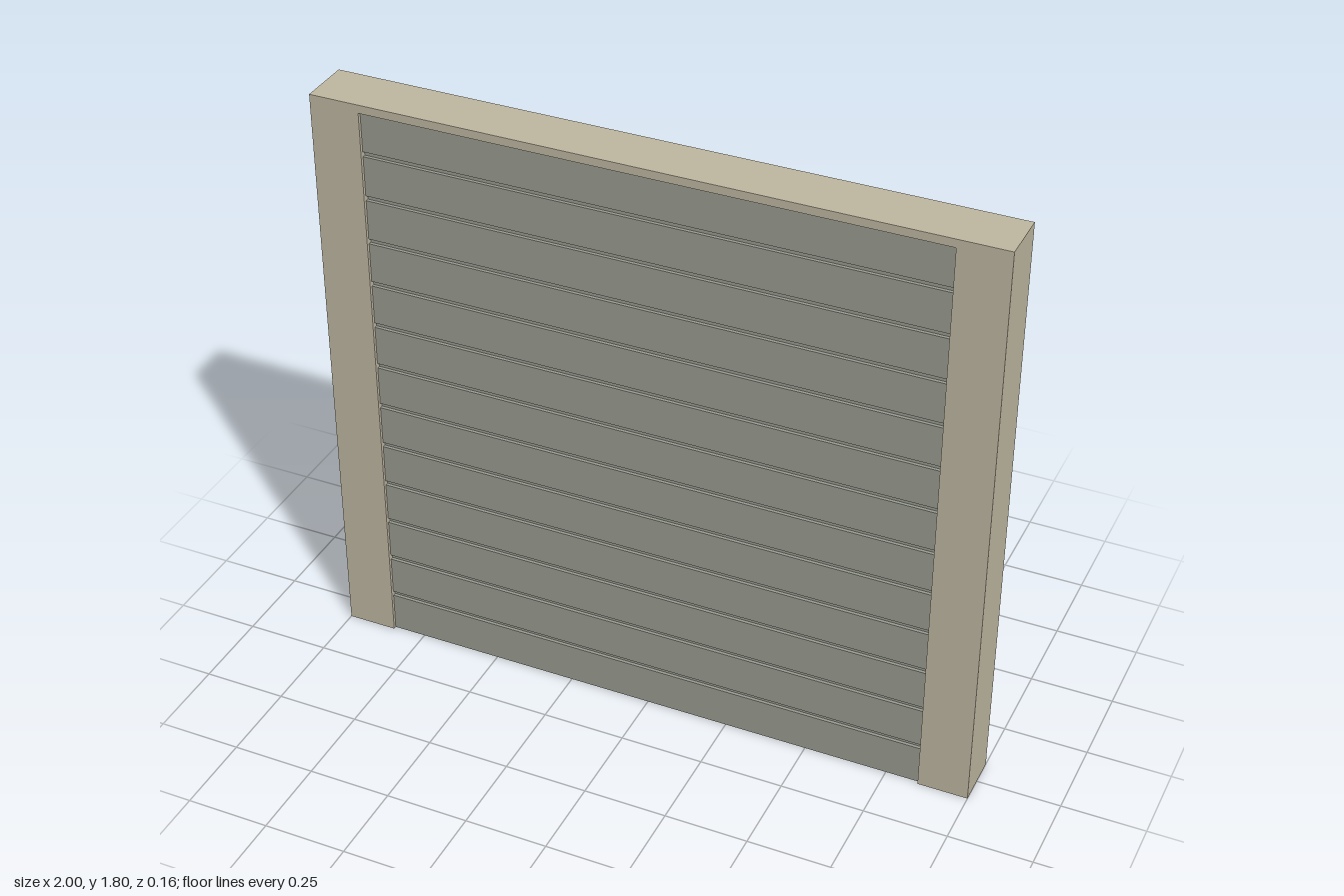
import * as THREE from 'three';

const WIDTH = 2, DEPTH = 0.16, CAP = 0.025, POST = 0.15;
const INNER_H = 1.8 - CAP, PANEL_W = WIDTH - 2 * POST;
const SLATS = 13, GAP = 0.015;

export function createModel() {
  const group = new THREE.Group();
  const frameMat = new THREE.MeshStandardMaterial({ color: 0xc0b8a2 });
  frameMat.name = 'beige frame';
  const panelMat = new THREE.MeshStandardMaterial({ color: 0x9a9d92 });
  panelMat.name = 'grey green slats';

  // Box standing on height y
  const box = (name, mat, w, h, d, x, y) => {
    const mesh = new THREE.Mesh(new THREE.BoxGeometry(w, h, d), mat);
    mesh.name = name;
    mesh.position.set(x, y + h / 2, 0);
    group.add(mesh);
  };

  // Frame: two posts and a cap rail
  for (const [side, name] of [[1, 'leftPost'], [-1, 'rightPost']]) {
    box(name, frameMat, POST, INNER_H, DEPTH, side * (WIDTH - POST) / 2, 0);
  }
  box('capRail', frameMat, WIDTH, CAP, DEPTH, 0, INNER_H);

  // Horizontal slats, slightly recessed, with narrow strips set back in the gaps
  const slatH = (INNER_H - (SLATS - 1) * GAP) / SLATS;
  for (let i = 0; i < SLATS; i++) {
    const y = i * (slatH + GAP);
    box(`slat${i + 1}`, panelMat, PANEL_W, slatH, DEPTH - 0.02, 0, y);
    if (i < SLATS - 1) {
      box(`grooveStrip${i + 1}`, panelMat, PANEL_W, GAP, DEPTH - 0.04, 0, y + slatH);
    }
  }
  return group;
}
